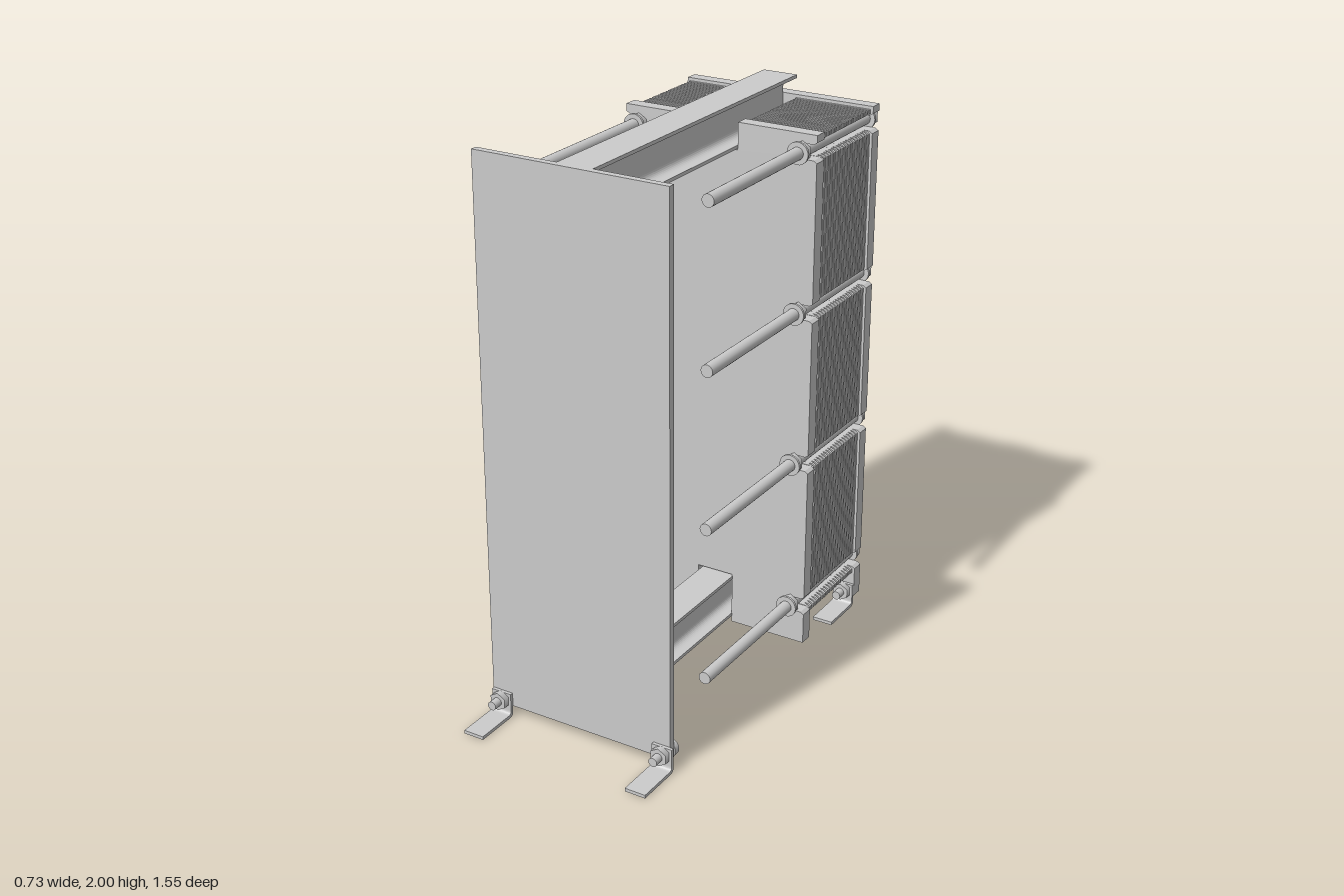
import * as THREE from 'three';

const grey = new THREE.MeshStandardMaterial({ color: 0xcccccc });
const boltRows = [0.19, 0.75, 1.31, 1.87];
const rodX = 0.315;

function add(parent, name, geometry, x = 0, y = 0, z = 0) {
  const mesh = new THREE.Mesh(geometry, grey);
  mesh.name = name;
  mesh.position.set(x, y, z);
  parent.add(mesh);
  return mesh;
}

// cylinder lying along z between z0 and z1
function rodGeometry(radius, z0, z1, sides = 24) {
  const g = new THREE.CylinderGeometry(radius, radius, Math.abs(z1 - z0), sides);
  g.rotateX(Math.PI / 2);
  g.translate(0, 0, (z0 + z1) / 2);
  return g;
}

function extrude(shape, depth) {
  return new THREE.ExtrudeGeometry(shape, { depth, bevelEnabled: false, curveSegments: 8 });
}

// plate outline with open bolt slots on both edges and optional beam cut-outs
function plateShape(w, y0, y1, beamCuts) {
  const slotR = 0.027;
  const right = [];
  if (beamCuts) right.push([0.071, 0.235], [0.071, y0]);
  right.push([w, y0]);
  for (const y of boltRows) {
    right.push([w, y - slotR - 0.008], [w - 0.012, y - slotR]);
    for (let i = 0; i <= 8; i++) {
      const a = -Math.PI / 2 - (i / 8) * Math.PI;
      right.push([rodX + Math.cos(a) * slotR, y + Math.sin(a) * slotR]);
    }
    right.push([w - 0.012, y + slotR], [w, Math.min(y + slotR + 0.008, y1 - 0.002)]);
  }
  right.push([w, y1]);
  if (beamCuts) right.push([0.071, y1], [0.071, 1.835]);
  const left = right.map(([x, y]) => [-x, y]).reverse();
  return new THREE.Shape([...right, ...left].map(([x, y]) => new THREE.Vector2(x, y)));
}

// I-section with curved fillets between web and flanges
function beamShape(w, h, flange, web, fillet) {
  const s = new THREE.Shape();
  const b = flange, t = h - flange;
  s.moveTo(-w, 0);
  s.lineTo(w, 0);
  s.lineTo(w, b);
  s.lineTo(web + fillet, b);
  s.quadraticCurveTo(web, b, web, b + fillet);
  s.lineTo(web, t - fillet);
  s.quadraticCurveTo(web, t, web + fillet, t);
  s.lineTo(w, t);
  s.lineTo(w, h);
  s.lineTo(-w, h);
  s.lineTo(-w, t);
  s.lineTo(-web - fillet, t);
  s.quadraticCurveTo(-web, t, -web, t - fillet);
  s.lineTo(-web, b + fillet);
  s.quadraticCurveTo(-web, b, -web - fillet, b);
  s.lineTo(-w, b);
  s.closePath();
  return s;
}

// bent L bracket, upright at z = 0 and sole reaching to z = 0.175
function footGeometry() {
  const s = new THREE.Shape();
  s.moveTo(0, 0.09);
  s.lineTo(0, 0.02);
  s.quadraticCurveTo(0, 0, 0.02, 0);
  s.lineTo(0.175, 0);
  s.lineTo(0.175, 0.012);
  s.lineTo(0.026, 0.012);
  s.quadraticCurveTo(0.012, 0.012, 0.012, 0.026);
  s.lineTo(0.012, 0.09);
  s.closePath();
  const g = extrude(s, 0.077);
  g.translate(0, 0, -0.0385);
  g.rotateY(-Math.PI / 2);
  return g;
}

export function createModel() {
  const model = new THREE.Group();
  model.name = 'plateHeatExchanger';

  // front support plate
  add(model, 'supportPlate', new THREE.BoxGeometry(0.71, 1.96, 0.025), -0.005, 1.02, 0.5875);

  // upper and lower carrying beams
  const beams = new THREE.Group();
  beams.name = 'carryingBeams';
  model.add(beams);
  add(beams, 'upperBeam', extrude(beamShape(0.065, 0.16, 0.012, 0.012, 0.03), 1.265), 0.004, 1.84, -0.69);
  add(beams, 'lowerBeam', extrude(beamShape(0.065, 0.165, 0.012, 0.012, 0.03), 1.265), 0.004, 0.063, -0.69);

  // thick end plates clamping the stack
  add(model, 'pressurePlate', extrude(plateShape(0.367, 0.04, 1.93, true), 0.05), -0.003, 0, -0.337);
  add(model, 'endPlate', extrude(plateShape(0.367, 0.04, 1.93, false), 0.047), -0.003, 0, -0.737);

  // thin plates with recessed gaskets between them
  const stack = new THREE.Group();
  stack.name = 'plateStack';
  model.add(stack);
  const count = 20, z0 = -0.69, pitch = 0.353 / count;
  const thin = extrude(plateShape(0.356, 0.14, 1.92, true), 0.011);
  const gasket = extrude(plateShape(0.343, 0.153, 1.908, true), pitch - 0.011);
  for (let i = 0; i < count; i++) {
    add(stack, 'plate', thin, 0, 0, z0 + i * pitch + 0.004);
    add(stack, 'gasket', gasket, 0, 0, z0 + i * pitch + (i ? -0.0026 : 0));
  }

  // tightening rods with washers, nuts and heads
  const rods = new THREE.Group();
  rods.name = 'tighteningBolts';
  model.add(rods);
  for (const side of [-1, 1]) {
    for (const y of boltRows) {
      const bolt = new THREE.Group();
      bolt.name = 'tighteningBolt';
      bolt.position.set(side * rodX - 0.005, y, 0);
      rods.add(bolt);
      add(bolt, 'rod', rodGeometry(0.022, -0.76, 0.315));
      add(bolt, 'frontNut', rodGeometry(0.035, -0.288, -0.262, 6));
      add(bolt, 'frontWasher', rodGeometry(0.039, -0.262, -0.253));
      add(bolt, 'backWasher', rodGeometry(0.039, -0.746, -0.736));
      add(bolt, 'backHead', rodGeometry(0.035, -0.775, -0.746, 6));
    }
  }

  // four bracket feet, each bolted through its plate
  const foot = footGeometry();
  for (const side of [-1, 1]) {
    for (const [name, z, inner] of [['frontFoot', 0.6, -0.03], ['backFoot', -0.69, -0.047]]) {
      const group = new THREE.Group();
      group.name = name;
      group.position.set(side * 0.322 + 0.003, 0, z);
      model.add(group);
      add(group, 'bracket', foot);
      add(group, 'footNut', rodGeometry(0.033, 0.012, 0.035, 6), 0, 0.062, 0);
      add(group, 'footShank', rodGeometry(0.016, inner, 0.068), 0, 0.062, 0);
      add(group, 'footHead', rodGeometry(0.032, inner - 0.016, inner + 0.006), 0, 0.062, 0);
    }
  }
  return model;
}
